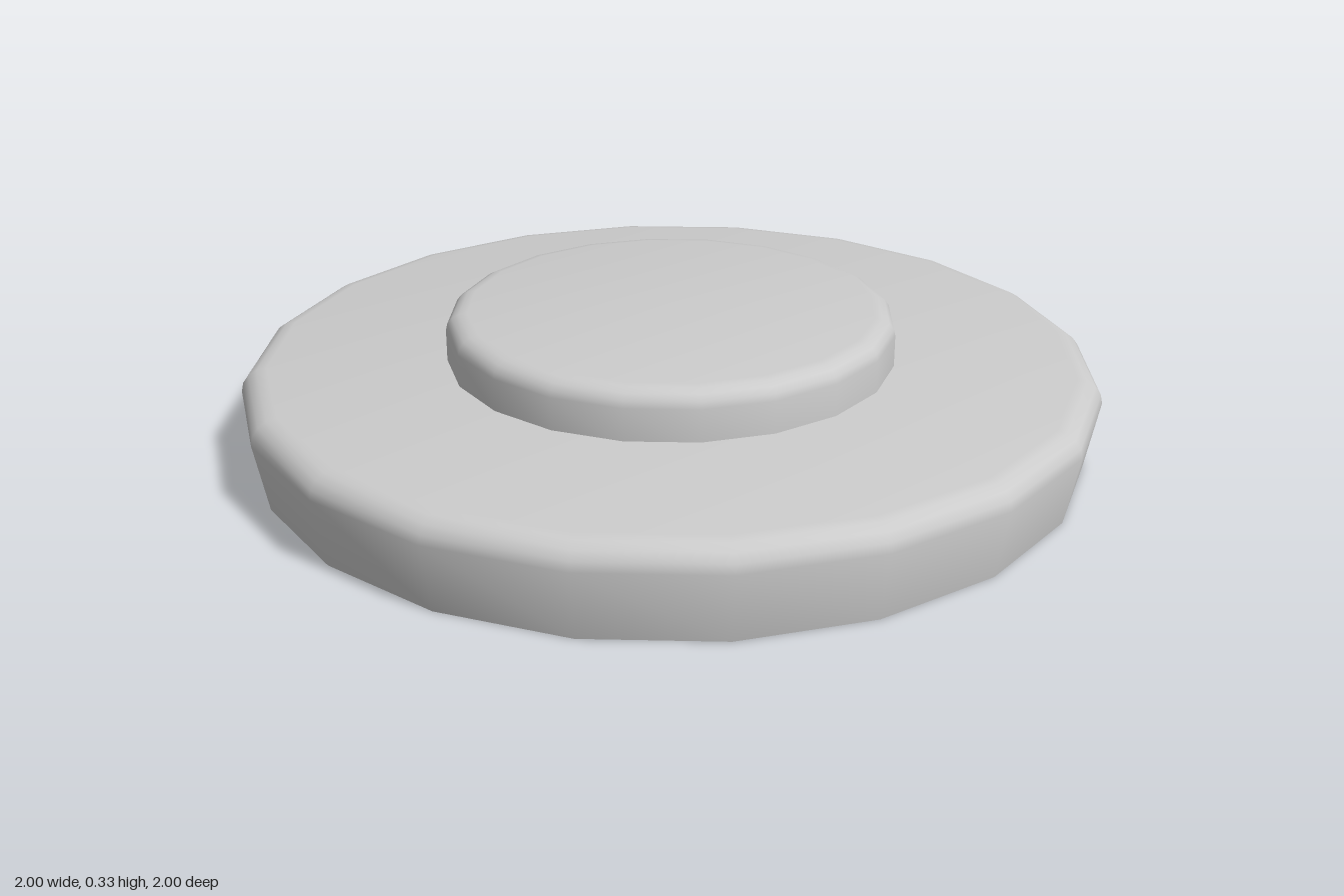
import * as THREE from 'three';
import { toCreasedNormals } from 'three/addons/utils/BufferGeometryUtils.js';

const SIDES = 20;

// Solid disc with a rounded upper rim: flat bottom, sloped wall, fillet, flat top.
function roundedDisc(name, bottomRadius, topRadius, bottom, top, fillet, filletWidth) {
  const profile = [
    new THREE.Vector2(0, bottom),
    new THREE.Vector2(bottomRadius, bottom),
  ];
  const steps = 4;
  for (let i = 0; i <= steps; i++) {
    const a = (i / steps) * Math.PI / 2;
    profile.push(new THREE.Vector2(
      topRadius - filletWidth * (1 - Math.cos(a)),
      top - fillet * (1 - Math.sin(a)),
    ));
  }
  profile.push(new THREE.Vector2(0, top));
  const geometry = toCreasedNormals(new THREE.LatheGeometry(profile, SIDES), Math.PI / 5);
  const mesh = new THREE.Mesh(geometry, new THREE.MeshStandardMaterial({ color: 0xcccccc }));
  mesh.name = name;
  return mesh;
}

export function createModel() {
  const group = new THREE.Group();
  group.name = 'steppedDisc';
  // Wide base, flaring slightly upwards
  group.add(roundedDisc('base', 0.97, 1, 0, 0.215, 0.055, 0.06));
  // Smaller raised button, sunk a little into the base
  group.add(roundedDisc('button', 0.525, 0.525, 0.2, 0.33, 0.04, 0.05));
  return group;
}
